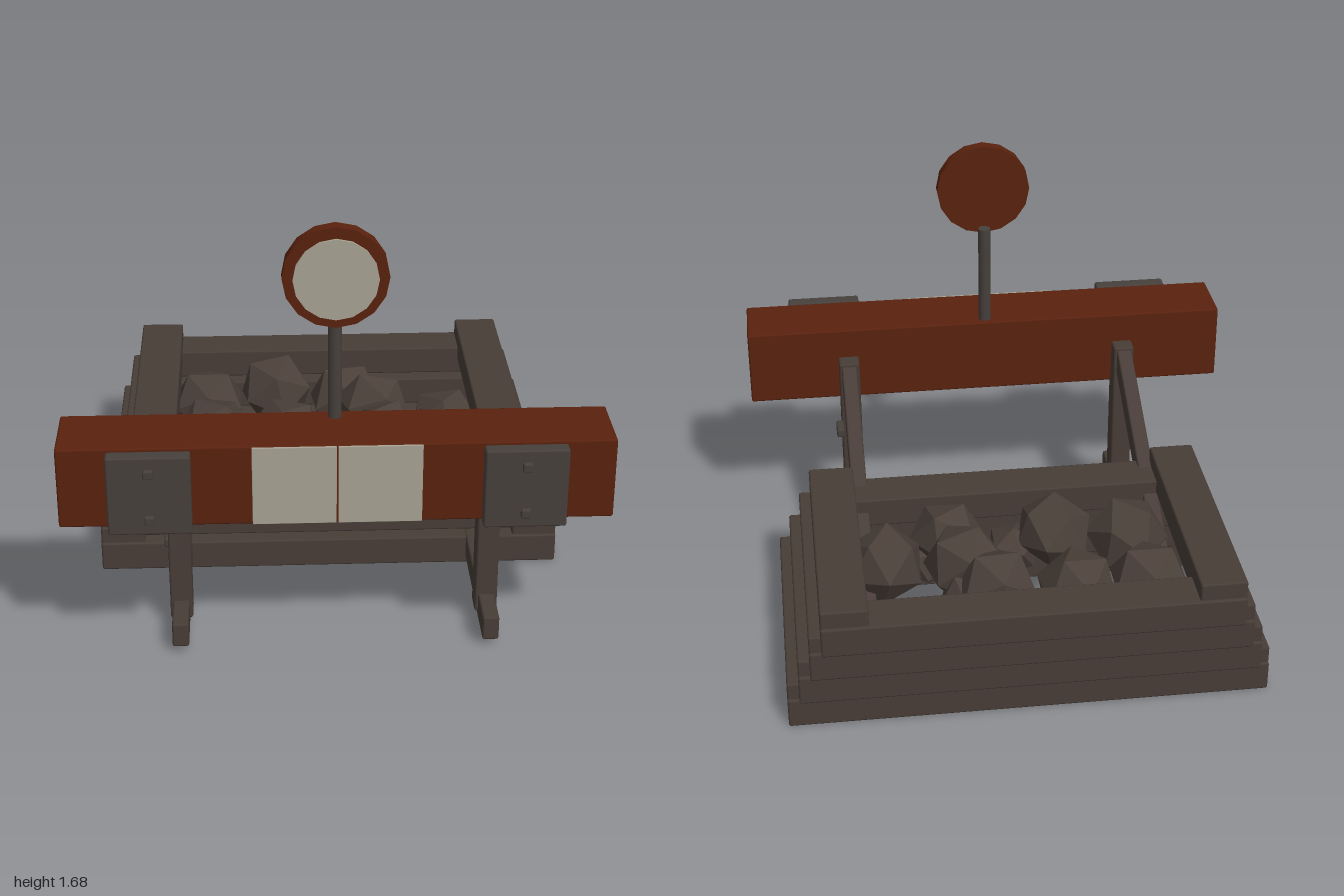
import * as THREE from 'three';
import { RoundedBoxGeometry } from 'three/addons/geometries/RoundedBoxGeometry.js';

const mat = (name, color, flatShading = false) => {
  const m = new THREE.MeshStandardMaterial({ color, flatShading });
  m.name = name;
  return m;
};

export function createModel() {
  const wood = mat('dark timber', 0x483d37);
  const stone = mat('stone', 0x4a3f39, true);
  const metal = mat('dark metal', 0x47403c);
  const red = mat('rust red', 0x5a220e);
  const pale = mat('pale panel', 0xa8a394);

  const root = new THREE.Group();
  root.name = 'trackStop';

  const add = (name, geometry, material, x, y, z, parent) => {
    const mesh = new THREE.Mesh(geometry, material);
    mesh.name = name;
    mesh.position.set(x, y, z);
    parent.add(mesh);
    return mesh;
  };
  // Bevelled box given by its extents along each axis
  const box = (name, material, [x0, x1], [y0, y1], [z0, z1], parent = root) => {
    const w = x1 - x0, h = y1 - y0, d = z1 - z0;
    const geometry = new RoundedBoxGeometry(w, h, d, 1, Math.min(0.008, Math.min(w, h, d) * 0.25));
    return add(name, geometry, material, (x0 + x1) / 2, (y0 + y1) / 2, (z0 + z1) / 2, parent);
  };
  // Mirrored x extents for side s
  const span = (s, a, b) => [s * a, s * b].sort((p, q) => p - q);

  // Crib of stacked timbers, each layer smaller and set further back
  const crib = new THREE.Group();
  crib.name = 'timberCrib';
  root.add(crib);
  for (let i = 0; i < 4; i++) {
    const half = 0.918 - i * 0.045;
    const y = 0.003 + i * 0.131;
    const front = 0.188 - i * 0.041, back = -0.837 - i * 0.038;
    box('frontTimber', wood, [-half, half], [y, y + 0.12], [front - 0.173, front], crib);
    box('backTimber', wood, [-half, half], [y, y + 0.12], [back, back + 0.173], crib);
    for (const s of [-1, 1]) {
      box('sideTimber', wood, span(s, half - 0.176, half), [y + 0.063, y + 0.187], [back + 0.012, front - 0.012], crib);
    }
  }

  // Rocks filling the crib: x, y, z, radius
  const rocks = new THREE.Group();
  rocks.name = 'rocks';
  root.add(rocks);
  [
    [-0.49, 0.38, -0.57, 0.155], [-0.2, 0.4, -0.635, 0.16], [0.1, 0.38, -0.57, 0.165],
    [0.21, 0.41, -0.42, 0.16], [0.51, 0.37, -0.34, 0.155], [0.25, 0.38, -0.2, 0.16],
    [-0.17, 0.4, -0.23, 0.16], [-0.46, 0.38, -0.27, 0.16], [-0.01, 0.31, -0.2, 0.11],
    [0.2, 0.3, -0.54, 0.13], [0.33, 0.28, -0.19, 0.11],
  ].forEach(([x, y, z, r], i) => {
    const rock = add('rock', new THREE.IcosahedronGeometry(r, 0), stone, x, y, z, rocks);
    rock.rotation.set(i * 1.7, i * 2.3, i * 0.9);
    rock.scale.set(1.05, 0.95 + 0.08 * Math.sin(i * 2), 1);
  });

  // Upright frames with base rails, braces and bolts
  for (const s of [-1, 1]) {
    const frame = new THREE.Group();
    frame.name = s > 0 ? 'leftFrame' : 'rightFrame';
    root.add(frame);
    box('post', wood, span(s, 0.541, 0.626), [0.05, 0.79], [0.53, 0.627], frame);
    box('baseRail', wood, span(s, 0.553, 0.615), [0.03, 0.128], [-0.432, 0.793], frame);

    // Diagonal brace running down into the crib
    const top = new THREE.Vector3(s * 0.585, 0.736, 0.56);
    const foot = new THREE.Vector3(s * 0.585, 0.15, -0.62);
    const brace = add('brace', new RoundedBoxGeometry(0.062, 0.1, top.distanceTo(foot), 1, 0.008), wood,
      s * 0.585, (top.y + foot.y) / 2, (top.z + foot.z) / 2, frame);
    brace.rotation.x = -Math.atan2(top.y - foot.y, top.z - foot.z);

    for (const [y, z] of [[0.525, 0.457], [0.258, 0.375]]) {
      box('sideBolt', metal, span(s, 0.62, 0.652), [y - 0.019, y + 0.019], [z - 0.043, z + 0.043], frame);
    }

    // Contact plate with two bolt heads
    box('contactPlate', metal, span(s, 0.52, 0.82), [0.602, 0.912], [0.88, 0.935], frame);
    for (const y of [0.664, 0.85]) {
      box('plateBolt', metal, span(s, 0.652, 0.688), [y - 0.017, y + 0.017], [0.93, 0.953], frame);
    }

    // Pale panel on the beam
    box('beamPanel', pale, span(s, 0.003, 0.305), [0.603, 0.912], [0.868, 0.877]);
  }

  // Cross beam
  box('crossBeam', red, [-1, 1], [0.6, 0.915], [0.598, 0.869]);

  // Signal disc on a pole
  const signal = new THREE.Group();
  signal.name = 'signal';
  root.add(signal);
  add('pole', new THREE.CylinderGeometry(0.026, 0.026, 0.44, 10), metal, 0, 1.11, 0.64, signal);
  const disc = (name, r, depth, z, material) => {
    const geometry = new THREE.CylinderGeometry(r, r, depth, 16).rotateX(Math.PI / 2);
    add(name, geometry, material, 0, 1.49, z, signal);
  };
  disc('discRim', 0.19, 0.05, 0.69, red);
  disc('discFace', 0.152, 0.009, 0.731, pale);

  return root;
}
